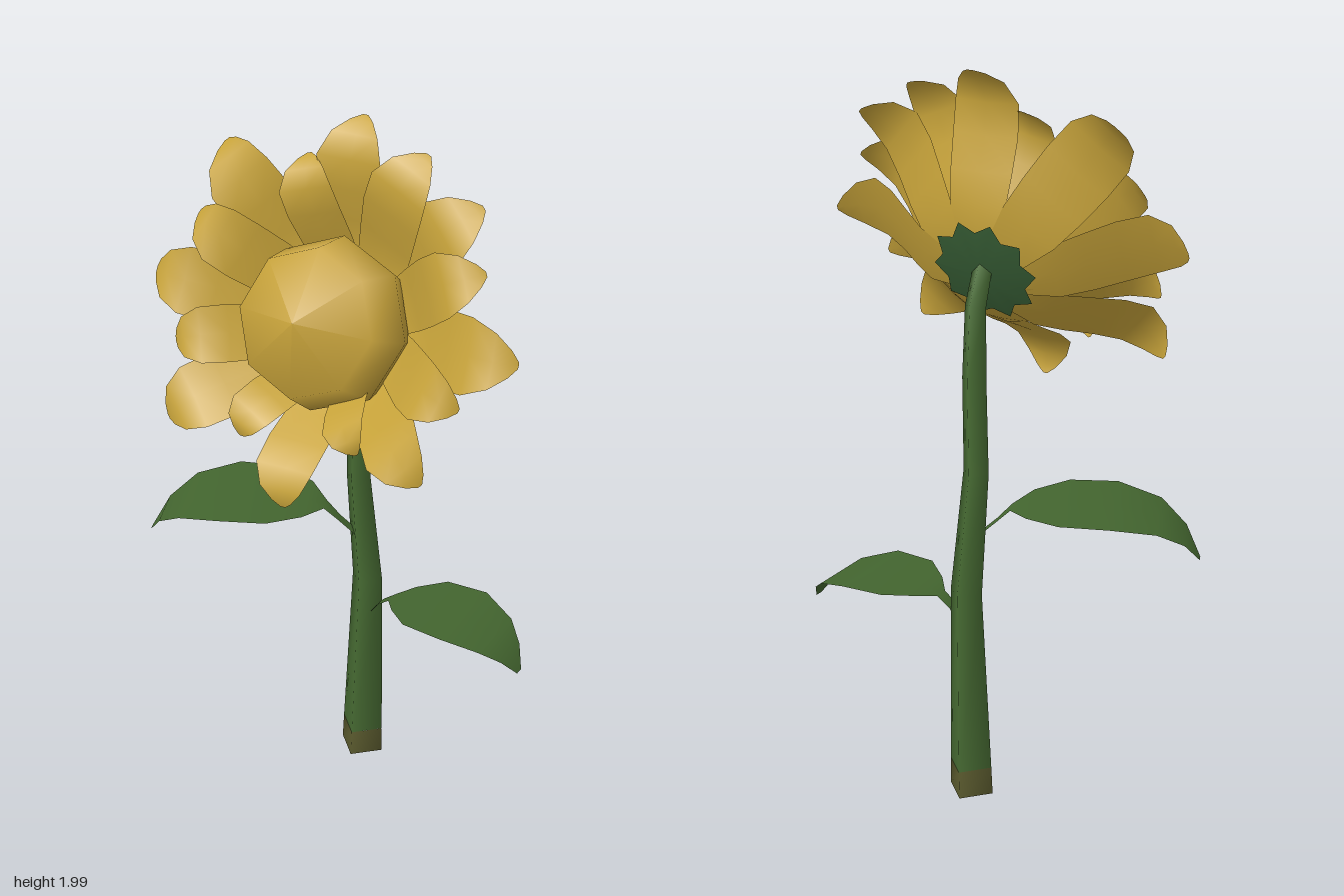
import * as THREE from 'three';

const material = (name, color, side = THREE.FrontSide) => {
  const m = new THREE.MeshStandardMaterial({ color, side });
  m.name = name;
  return m;
};

function surface(points, index) {
  const g = new THREE.BufferGeometry();
  g.setAttribute('position', new THREE.Float32BufferAttribute(points, 3));
  g.setIndex(index);
  g.computeVertexNormals();
  return g;
}

// Blade growing along +y, facing +z; rows are [along, half width, lift]
function blade(rows, cup) {
  const points = [], index = [];
  rows.forEach(([s, w, lift], i) => {
    points.push(-w, s, lift + cup * w, 0, s, lift, w, s, lift + cup * w);
    if (i === 0) return;
    for (let k = 0; k < 2; k++) {
      const a = (i - 1) * 3 + k, b = a + 3;
      index.push(a, a + 1, b + 1, a, b + 1, b);
    }
  });
  return surface(points, index);
}

// Four-sided stalk through stations [x, y, z, radius]
function stalk(stations) {
  const points = [], index = [];
  const at = i => new THREE.Vector3(...stations[Math.min(Math.max(i, 0), stations.length - 1)].slice(0, 3));
  stations.forEach(([x, y, z, r], i) => {
    const t = at(i + 1).sub(at(i - 1)).normalize();
    const v = new THREE.Vector3(0, -t.z, t.y).normalize();
    const u = t.clone().cross(v).normalize();
    for (let k = 0; k < 4; k++) {
      const a = k * Math.PI / 2;
      const p = new THREE.Vector3(x, y, z).addScaledVector(v, r * Math.cos(a)).addScaledVector(u, r * Math.sin(a));
      points.push(p.x, p.y, p.z);
      if (i === 0) continue;
      const lo = (i - 1) * 4, n = (k + 1) % 4;
      index.push(lo + k, lo + n, lo + 4 + n, lo + k, lo + 4 + n, lo + 4 + k);
    }
  });
  return surface(points, index);
}

const lathe = (profile, sides) =>
  new THREE.LatheGeometry(profile.map(p => new THREE.Vector2(...p)), sides).rotateX(Math.PI / 2);

export function createModel() {
  const model = new THREE.Group();
  model.name = 'sunflower';
  const petalYellow = material('petal yellow', 0xc7a33a, THREE.DoubleSide);
  const seedGold = material('seed gold', 0xc4a039);
  const stemGreen = material('stem green', 0x466a32);
  const leafGreen = material('leaf green', 0x43652f, THREE.DoubleSide);
  const sepalGreen = material('sepal green', 0x385f36, THREE.DoubleSide);
  const baseOlive = material('base olive', 0x5a5a2e);

  const add = (parent, name, geometry, mat) => {
    const mesh = new THREE.Mesh(geometry, mat);
    mesh.name = name;
    parent.add(mesh);
    return mesh;
  };

  // Stem, with an earthy foot
  add(model, 'stemFoot', stalk([[-0.013, 0, -0.182, 0.067], [-0.011, 0.08, -0.182, 0.065]]), baseOlive);
  const cap = add(model, 'stemFootCap', new THREE.CircleGeometry(0.067, 4), baseOlive);
  cap.rotation.x = Math.PI / 2;
  cap.position.set(-0.013, 0, -0.182);
  add(model, 'stem', stalk([
    [-0.011, 0.08, -0.182, 0.065], [0, 0.6, -0.182, 0.048], [-0.018, 0.94, -0.158, 0.038],
    [-0.018, 1.2, -0.165, 0.036], [-0.008, 1.385, -0.14, 0.031], [0.005, 1.46, -0.085, 0.028],
    [0.01, 1.475, -0.04, 0.026],
  ]), stemGreen);

  // Leaves with flat stalks: blade start, heading (x, z), rows of [along, half width, height]
  const leaf = (name, x, z, dx, dz, rows) => {
    const g = blade(rows, 0).rotateX(-Math.PI / 2).rotateY(Math.atan2(-dx, -dz));
    add(model, name, g, leafGreen).position.set(x, 0, z);
  };
  leaf('rightLeaf', -0.1, -0.115, -0.46, 0.19, [
    [-0.09, 0.016, 0.755], [-0.04, 0.016, 0.8], [0, 0.025, 0.84], [0.05, 0.1, 0.852], [0.14, 0.162, 0.86],
    [0.27, 0.168, 0.86], [0.39, 0.128, 0.835], [0.46, 0.072, 0.785], [0.5, 0.012, 0.72],
  ]);
  leaf('leftLeaf', 0.09, -0.165, 0.41, 0.008, [
    [-0.07, 0.018, 0.49], [-0.04, 0.018, 0.535], [0, 0.02, 0.565], [0.04, 0.07, 0.576], [0.11, 0.128, 0.586],
    [0.23, 0.137, 0.586], [0.33, 0.098, 0.555], [0.38, 0.055, 0.515], [0.41, 0.012, 0.465],
  ]);

  // Flower head, tilted to look slightly upward
  const head = new THREE.Group();
  head.name = 'flowerHead';
  head.position.set(0.01, 1.48, 0.03);
  head.rotation.x = -0.384;
  model.add(head);

  // Eight-sided seed dome and the shallow cup joining the petal roots
  add(head, 'seedDome', lathe([[0.205, -0.04], [0.226, 0.025], [0.192, 0.143], [0, 0.205]], 8), seedGold);
  add(head, 'petalCup', lathe([[0, -0.098], [0.1, -0.082], [0.19, -0.045]], 16), petalYellow);

  // Petals as tip offsets seen from the front, alternate ones slightly forward
  const tips = [
    [0, 0.49], [0.2, 0.43], [0.37, 0.34], [0.42, 0.2], [0.55, 0.02], [0.43, -0.11], [0.37, -0.3], [0.19, -0.27],
    [0.01, -0.44], [-0.15, -0.3], [-0.38, -0.31], [-0.4, -0.12], [-0.51, 0.03], [-0.41, 0.19], [-0.38, 0.37], [-0.13, 0.38],
  ];
  tips.forEach(([x, y], i) => {
    const v = y / 0.927, length = Math.hypot(x, v), w = 0.178 * length;
    const forward = (i % 2) * 0.012, droop = -0.025 * v / length;
    const rows = [
      [0.1, 0.28, -0.103], [0.2, 0.6, -0.095], [0.36, 0.85, -0.062], [0.5, 0.95, -0.008],
      [0.64, 1, 0.05], [0.78, 0.97, 0.094], [0.9, 0.7, 0.094], [0.97, 0.34, 0.075], [1, 0.08, 0.063],
    ].map(([s, k, lift]) => [s * length, k * w, lift + (forward + droop) * Math.max(0, s - 0.2) / 0.8]);
    add(head, i % 2 ? 'frontPetal' : 'backPetal', blade(rows, 0.08), petalYellow)
      .rotation.z = Math.atan2(-x, v);
  });

  // Jagged sepals behind the petals
  const star = new THREE.CircleGeometry(1, 20);
  const p = star.attributes.position;
  for (let i = 0; i < p.count; i++) {
    const r = i === 0 ? 0 : i % 2 ? 0.15 : 0.12;
    p.setXYZ(i, p.getX(i) * r, p.getY(i) * r + 0.015, -0.12 + r * 0.18);
  }
  star.computeVertexNormals();
  add(head, 'sepals', star, sepalGreen);

  return model;
}
